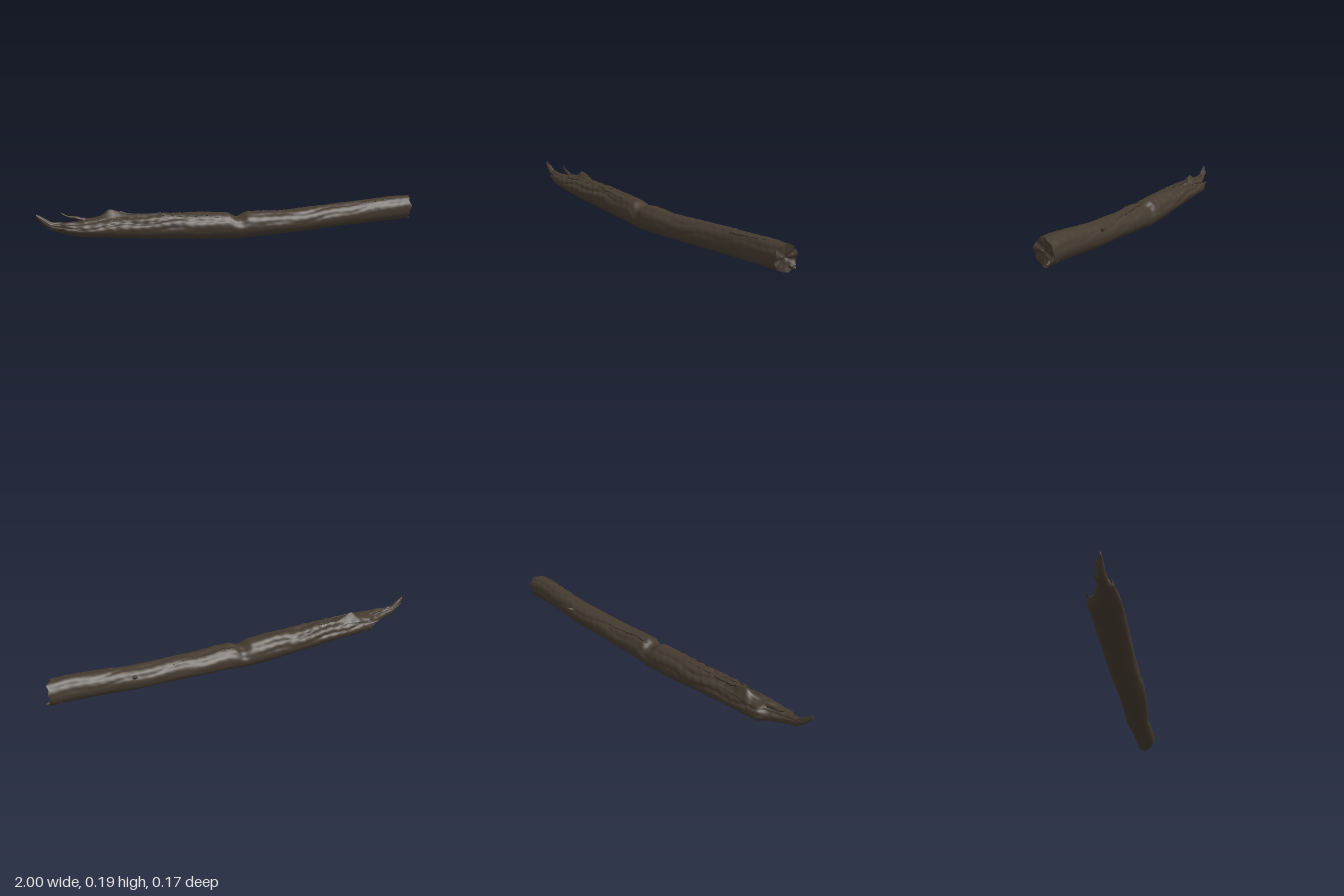
import * as THREE from 'three';

const SIDES = 56;
const bark = new THREE.MeshStandardMaterial({ color: 0x443a2f });
bark.name = 'dark bark';
const rot = new THREE.MeshStandardMaterial({ color: 0x2b241d });
rot.name = 'crack brown';

// Sections along the log: x, bottom, top, back z, front z
const SECTIONS = [
  [-1.0, 0.172, 0.19, -0.002, 0.008], [-0.97, 0.135, 0.172, -0.012, 0.014],
  [-0.93, 0.102, 0.146, -0.02, 0.018], [-0.89, 0.092, 0.143, -0.022, 0.024],
  [-0.87, 0.084, 0.142, -0.025, 0.044], [-0.8, 0.066, 0.142, -0.048, 0.054],
  [-0.78, 0.062, 0.147, -0.06, 0.058], [-0.755, 0.058, 0.15, -0.086, 0.061],
  [-0.6, 0.044, 0.155, -0.082, 0.066], [-0.4, 0.028, 0.152, -0.077, 0.071],
  [-0.2, 0.012, 0.146, -0.072, 0.073], [-0.06, 0.003, 0.139, -0.064, 0.08],
  [-0.02, 0.002, 0.116, -0.06, 0.082], [0.0, 0.002, 0.116, -0.058, 0.083],
  [0.03, 0.003, 0.137, -0.056, 0.085], [0.12, 0.006, 0.137, -0.052, 0.087],
  [0.2, 0.009, 0.131, -0.052, 0.086], [0.4, 0.018, 0.14, -0.053, 0.077],
  [0.58, 0.027, 0.149, -0.058, 0.068], [0.7, 0.034, 0.156, -0.046, 0.073],
  [0.87, 0.042, 0.168, -0.04, 0.077], [0.97, 0.044, 0.167, -0.036, 0.073],
];

function sectionAt(x) {
  let i = 0;
  while (i < SECTIONS.length - 2 && SECTIONS[i + 1][0] < x) i++;
  const a = SECTIONS[i], b = SECTIONS[i + 1];
  const t = THREE.MathUtils.clamp((x - a[0]) / (b[0] - a[0]), 0, 1);
  return a.map((v, k) => THREE.MathUtils.lerp(v, b[k], t));
}

// Point on the bark at length x and angle a (0 = front, PI/2 = top)
function barkPoint(x, a) {
  const [, y0, y1, z0, z1] = sectionAt(x);
  const upper = THREE.MathUtils.smoothstep(Math.sin(a), -0.3, 0.6);
  const decay = THREE.MathUtils.smoothstep(-x, 0, 0.6);
  // Long fissures, weathered harder on top and towards the broken end
  const grain = Math.pow(Math.abs(Math.sin(a * 4 + 1.3 * Math.sin(x * 5) + 0.5 * Math.sin(x * 23))), 6);
  const rough = Math.sin(x * 37 + a * 3) * Math.sin(x * 61 - a * 5) + 0.6 * Math.sin(x * 113 + a * 7);
  const swell = 0.02 * Math.sin(2 * a + x * 6);
  const r = 1 + swell - (0.015 + upper * (0.035 + 0.08 * decay)) * grain
    + (0.006 + 0.025 * upper * (0.3 + decay)) * rough;
  let y = (y0 + y1) / 2 + (y1 - y0) / 2 * r * Math.sin(a);
  const z = (z0 + z1) / 2 + (z1 - z0) / 2 * r * Math.cos(a);
  // Raised flap of bark near the broken end
  if (Math.sin(a) > 0) {
    const d = (x + 0.655) / (x < -0.655 ? 0.035 : 0.07);
    y += 0.034 * Math.exp(-d * d - ((z + 0.03) / 0.022) ** 2);
  }
  // Slanted cut at the right end
  const cut = THREE.MathUtils.smoothstep(x, 0.85, 0.97);
  const end = -0.3 * (z - 0.015) + 0.006 * Math.sin(3 * a + 1) + 0.005 * Math.sin(7 * a);
  return new THREE.Vector3(x + cut * end, y, z);
}

// Skin over a list of closed rings
function skin(rings) {
  const pos = [], index = [];
  rings.forEach((ring) => ring.forEach((p) => pos.push(p.x, p.y, p.z)));
  for (let i = 0; i < rings.length - 1; i++) {
    for (let j = 0; j < SIDES; j++) {
      const k = (j + 1) % SIDES, a = i * SIDES, b = a + SIDES;
      index.push(a + j, b + j, b + k, a + j, b + k, a + k);
    }
  }
  const g = new THREE.BufferGeometry();
  g.setAttribute('position', new THREE.Float32BufferAttribute(pos, 3));
  g.setIndex(index);
  g.computeVertexNormals();
  return g;
}

const ringAt = (x) => Array.from({ length: SIDES }, (_, j) => barkPoint(x, j / SIDES * Math.PI * 2));

// Rings shrinking from a rim to its centre, with uneven broken relief
function capRings(x, dir, depth) {
  const rim = ringAt(x);
  const c = rim.reduce((s, p) => s.add(p), new THREE.Vector3()).divideScalar(SIDES);
  return [1, 0.93, 0.8, 0.6, 0.4, 0.2, 0.001].map((s) => rim.map((p) => {
    const q = c.clone().lerp(p, s);
    q.x += dir * (1 - s) * depth * (1 + 0.8 * Math.sin(q.y * 130) * Math.sin(q.z * 150));
    return q;
  }));
}

// Bent, tapering sliver of wood through a few points
function splinter(name, points, radius, material = bark) {
  const curve = new THREE.CatmullRomCurve3(points.map((p) => new THREE.Vector3(...p)));
  const n = 10, m = 7;
  const g = new THREE.TubeGeometry(curve, n, 1, m, false);
  const p = g.attributes.position, v = new THREE.Vector3();
  for (let i = 0; i <= n; i++) {
    const c = curve.getPointAt(i / n);
    const r = radius * (1 - 0.85 * i / n) * (1 + 0.2 * Math.sin(i * 2.3));
    for (let j = 0; j <= m; j++) {
      const k = i * (m + 1) + j;
      v.fromBufferAttribute(p, k).sub(c).multiplyScalar(r).add(c);
      p.setXYZ(k, v.x, v.y, v.z);
    }
  }
  g.computeVertexNormals();
  const mesh = new THREE.Mesh(g, material);
  mesh.name = name;
  return mesh;
}

// Dark crack lying on the bark between two lengths
function crack(x0, x1, a0, a1) {
  const pts = Array.from({ length: 12 }, (_, i) => {
    const t = i / 11;
    const a = a0 + (a1 - a0) * t + 0.07 * Math.sin(i * 2.1);
    return barkPoint(x0 + (x1 - x0) * t, a).toArray();
  });
  return splinter('crack', pts, 0.003, rot);
}

export function createModel() {
  const group = new THREE.Group();
  group.name = 'fallenLog';
  const add = (name, geometry) => {
    const mesh = new THREE.Mesh(geometry, bark);
    mesh.name = name;
    group.add(mesh);
  };

  // Trunk and its two ends
  const count = 240;
  add('trunk', skin(Array.from({ length: count + 1 }, (_, i) => ringAt(-1 + 1.97 * i / count))));
  add('cutEnd', skin(capRings(0.97, 1, -0.008)));
  add('brokenTip', skin(capRings(-1, -1, 0.002).reverse()));

  // Splinters around the broken end
  group.add(
    splinter('upperSplinter', [[-0.77, 0.14, -0.02], [-0.82, 0.155, -0.028], [-0.85, 0.16, -0.035], [-0.882, 0.178, -0.042]], 0.011),
    splinter('backSplinter', [[-0.7, 0.115, -0.07], [-0.75, 0.12, -0.078], [-0.795, 0.128, -0.083]], 0.014),
    splinter('backLowerSplinter', [[-0.72, 0.09, -0.065], [-0.77, 0.1, -0.068], [-0.785, 0.105, -0.065]], 0.016),
    splinter('frontSplinter', [[-0.8, 0.11, 0.04], [-0.87, 0.115, 0.036], [-0.91, 0.122, 0.03]], 0.012),
    splinter('tipSplinter', [[-0.92, 0.13, -0.005], [-0.96, 0.145, -0.012], [-0.985, 0.165, -0.016]], 0.012),
  );

  // Knot on the back and the ragged lip of the cut end
  group.add(
    splinter('knot', [[0.57, 0.115, -0.04], [0.58, 0.122, -0.055], [0.585, 0.13, -0.066]], 0.014),
    splinter('lowerLip', [[0.93, 0.07, -0.005], [0.97, 0.068, -0.008], [1.0, 0.062, -0.012]], 0.022),
  );

  // Cracks along the weathered top
  [[-0.72, -0.42, 1.0, 1.3], [-0.6, -0.25, 1.9, 1.7], [-0.74, -0.5, 2.5, 2.3],
    [-0.4, -0.03, 1.2, 0.8], [0.02, 0.4, 1.9, 2.2], [0.65, 0.9, 1.0, 1.2]]
    .forEach((c) => group.add(crack(...c)));

  return group;
}
